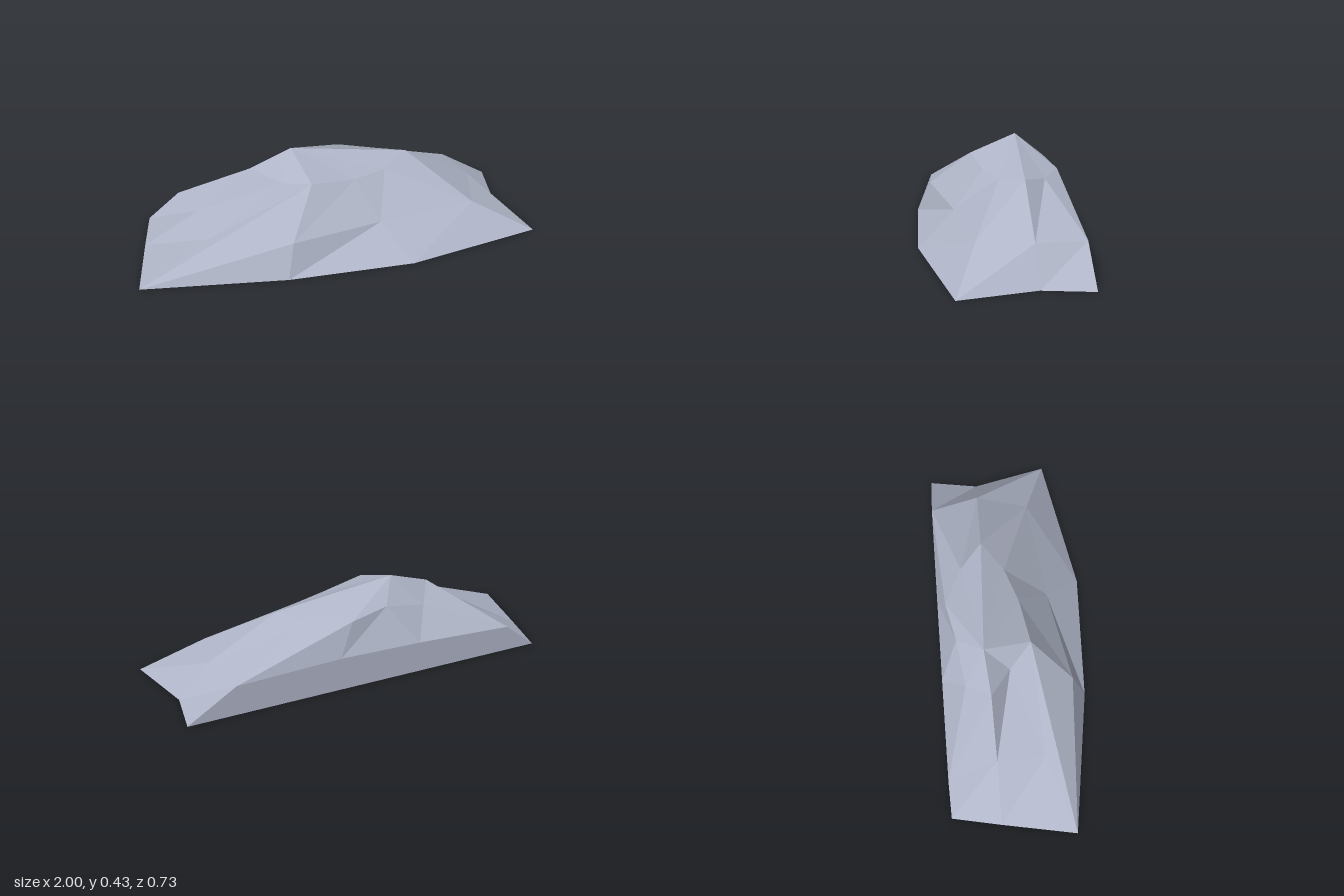
import * as THREE from 'three';

// Corner points of the rock, by letter
const P = {
  // ground outline
  A: [-1, 0, 0.24], B: [-0.3, 0, 0.345], C: [0.32, 0, 0.367], D: [1, 0, 0.24],
  E: [0.92, 0, -0.125], F: [0.96, 0, -0.367], G: [-0.88, 0, -0.367], H: [-0.93, 0, -0.125],
  // shoulders
  I: [0.77, 0.16, -0.125], J: [0.72, 0.148, -0.367], O: [0.7, 0.152, 0.13], X: [0.2, 0.15, 0.19],
  V: [-0.26, 0.16, 0.28], U: [-0.64, 0.14, 0.11], S: [-0.65, 0.16, -0.125],
  a: [-0.72, 0.13, -0.367], b: [-0.22, 0.155, -0.367], d: [0.2, 0.165, -0.367],
  // crown
  p: [-0.17, 0.433, -0.15], K: [0.42, 0.35, -0.125], L: [0.3, 0.32, -0.235], M: [0.12, 0.32, -0.322],
  N: [-0.08, 0.34, -0.28], c: [-0.3, 0.29, -0.25], R: [-0.38, 0.36, -0.13], T: [-0.24, 0.31, -0.03],
  Q: [-0.12, 0.35, 0.08], Y: [0.11, 0.32, 0.04], Z: [0.28, 0.32, -0.02],
};

// Triangle fans (hub first), each turned to face the given direction
function facets(name, fans, facing, material) {
  const dir = new THREE.Vector3(...facing);
  const positions = [];
  for (const fan of fans) {
    for (let i = 1; i < fan.length - 1; i++) {
      const [u, v, w] = [fan[0], fan[i], fan[i + 1]].map((k) => new THREE.Vector3(...P[k]));
      const normal = v.clone().sub(u).cross(w.clone().sub(u));
      const order = normal.dot(dir) >= 0 ? [u, v, w] : [u, w, v];
      for (const q of order) positions.push(q.x, q.y, q.z);
    }
  }
  const geometry = new THREE.BufferGeometry();
  geometry.setAttribute('position', new THREE.Float32BufferAttribute(positions, 3));
  geometry.computeVertexNormals();
  const mesh = new THREE.Mesh(geometry, material);
  mesh.name = name;
  return mesh;
}

export function createModel() {
  const stone = new THREE.MeshStandardMaterial({ color: 0xb0b6c8 });
  stone.name = 'blue grey stone';
  const rock = new THREE.Group();
  rock.name = 'rock';
  const up = [0, 1, 0];
  rock.add(
    // notch, left slopes and rear slopes
    facets('notch', ['TSRpQUS'], up, stone),
    facets('lowEndSlope', ['HAUSG', 'aGSRcb'], up, stone),
    facets('rearSlope', ['NMdbc', 'JLMd'], up, stone),
    // long front face, crown and far end
    facets('frontSlope', ['AUQVB', 'QpYV', 'XCBVYZOC', 'OCDIKZ'], up, stone),
    facets('crown', ['pYZKLMNcR'], up, stone),
    facets('highEndSlope', ['IDEJLK', 'JEF'], up, stone),
    // flat cut back and underside
    facets('backWall', ['GFJdba'], [0, 0, -1], stone),
    facets('underside', ['EFGHABCD'], [0, -1, 0], stone),
  );
  return rock;
}
